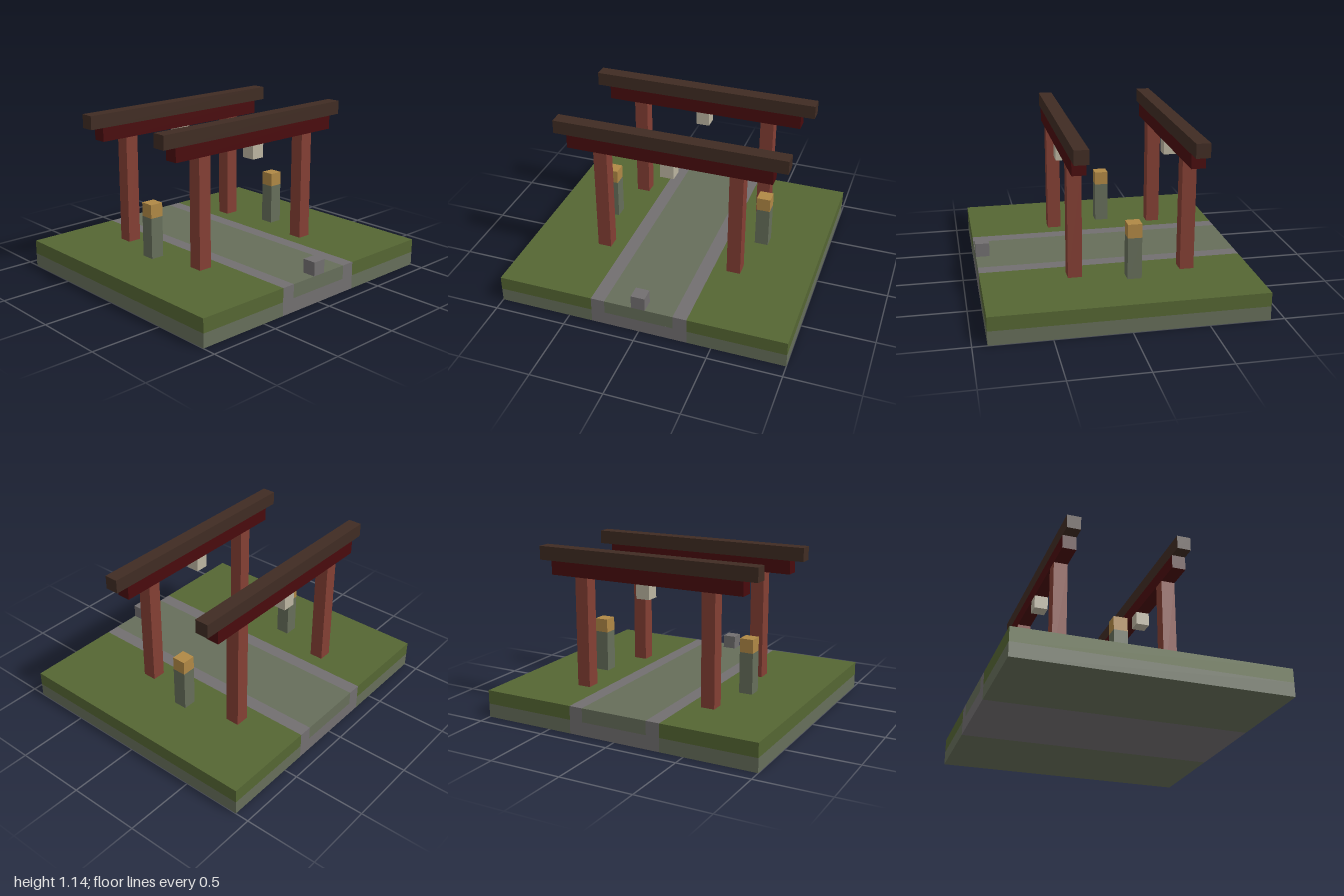
import * as THREE from 'three';

const U = 2 / 21; // one block

const mat = (name, color) => {
  const m = new THREE.MeshStandardMaterial({ color });
  m.name = name;
  return m;
};

export function createModel() {
  const model = new THREE.Group();
  model.name = 'gateShrine';

  const grass = mat('grass green', 0x556633);
  const mossStone = mat('mossy stone', 0x666e5a);
  const pathStone = mat('path grey', 0x726f70);
  const redWood = mat('red wood', 0x843f34);
  const darkRed = mat('dark red wood', 0x490b0d);
  const roofWood = mat('dark brown wood', 0x402c23);
  const lampGold = mat('lamp gold', 0xb08845);
  const paleStone = mat('pale lantern', 0xbcb5a1);

  // Box sized in blocks: x and z are centres, y is the bottom
  const block = (parent, name, material, [w, h, d], [x, y, z]) => {
    const mesh = new THREE.Mesh(new THREE.BoxGeometry(w * U, h * U, d * U), material);
    mesh.position.set(x * U, (y + h / 2) * U, z * U);
    mesh.name = name;
    parent.add(mesh);
  };

  // Ground: grass over stone on both sides of a sunken path
  const ground = new THREE.Group();
  ground.name = 'ground';
  model.add(ground);
  for (const s of [-1, 1]) {
    block(ground, 'stoneBase', mossStone, [7, 1, 19], [s * 7, 0, 0]);
    block(ground, 'grass', grass, [7, 1, 19], [s * 7, 1, 0]);
    block(ground, 'pathBorder', pathStone, [1, 1, 19], [s * 3, 1, 0]);
  }
  block(ground, 'pathBase', pathStone, [7, 1, 19], [0, 0, 0]);
  block(ground, 'pathPaving', mossStone, [5, 1, 19], [0, 1, 0]);

  // Two identical gates across the path
  for (const z of [3, -5]) {
    const gate = new THREE.Group();
    gate.name = z > 0 ? 'frontGate' : 'backGate';
    gate.position.z = z * U;
    model.add(gate);
    for (const s of [-1, 1]) block(gate, 'pillar', redWood, [1, 8, 1], [s * 5, 2, 0]);
    block(gate, 'lowerBeam', darkRed, [15, 1, 1], [0, 10, 0]);
    block(gate, 'topBeam', roofWood, [17, 1, 1], [0, 11, 0]);
    block(gate, 'hangingLantern', paleStone, [1, 1, 1], [0, 9, 0]);
  }

  // Stone lamps between the gates
  for (const s of [-1, 1]) {
    const lamp = new THREE.Group();
    lamp.name = s > 0 ? 'leftLamp' : 'rightLamp';
    lamp.position.set(s * 6 * U, 0, -U);
    model.add(lamp);
    block(lamp, 'lampPost', mossStone, [1, 3, 1], [0, 2, 0]);
    block(lamp, 'lampHead', lampGold, [1, 1, 1], [0, 5, 0]);
  }

  // Small stone at the front edge of the path
  block(model, 'entranceStone', pathStone, [1, 1, 1], [0, 2, 9]);

  return model;
}
